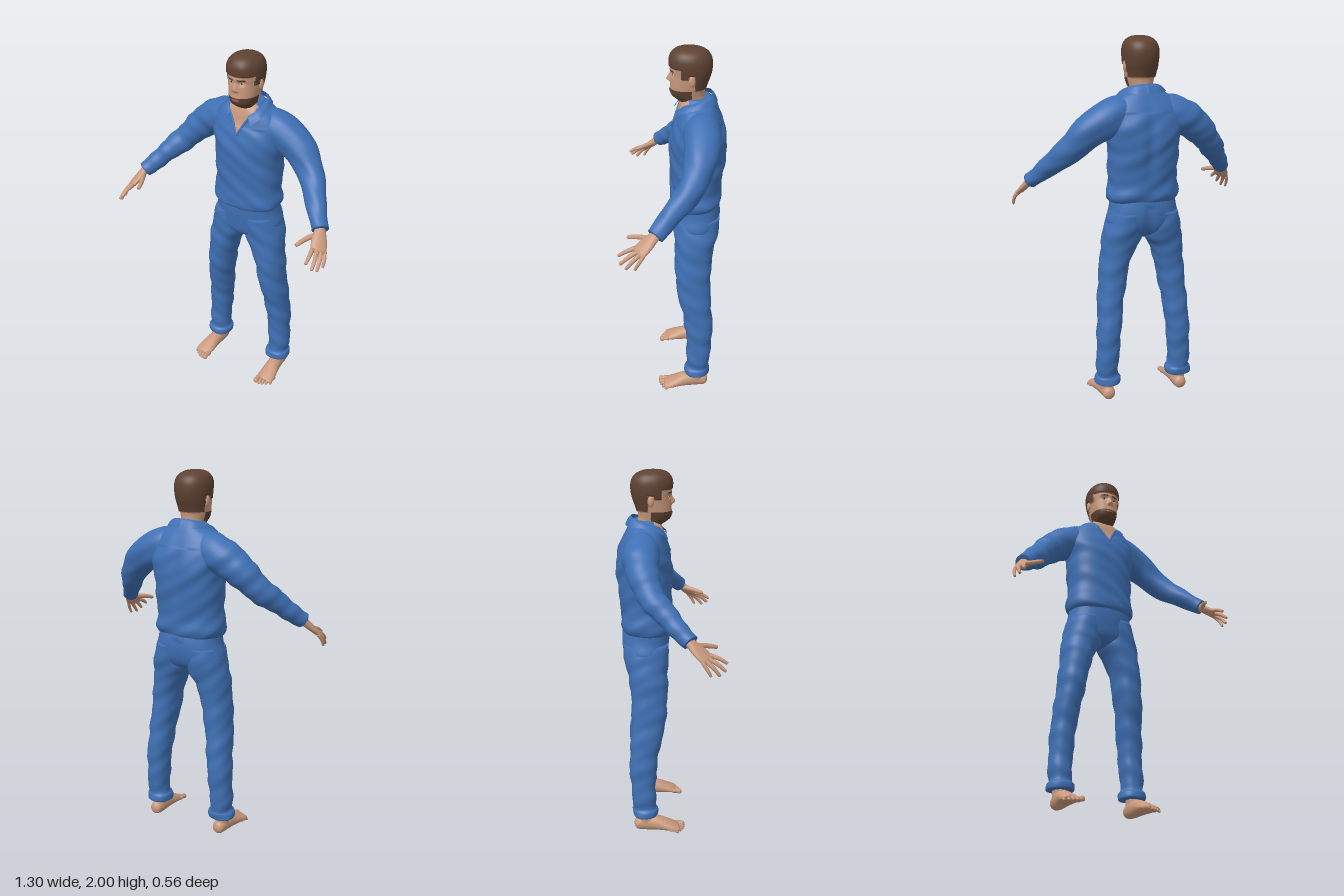
import * as THREE from 'three';

const mat = (name, color, side = THREE.FrontSide) => {
  const m = new THREE.MeshStandardMaterial({ color, side });
  m.name = name;
  return m;
};
const V = (x, y, z) => new THREE.Vector3(x, y, z);
const UP = V(0, 1, 0);
const bump = (d, w) => Math.exp(-(d * d) / (w * w));

// Smooth skin over elliptical stations [x, y, z, half width, half depth].
// o: width axis, fixed tangent, segs, steps, power, deform(p, centre), pick(centroid) -> material index
function loft(name, rows, material, o = {}) {
  const { axis = V(1, 0, 0), tangent, segs = 24, steps = 30, power = 2, deform, pick } = o;
  const path = new THREE.CatmullRomCurve3(rows.map(r => V(r[0], r[1], r[2])), false, 'catmullrom');
  const size = new THREE.CatmullRomCurve3(rows.map(r => V(r[3], r[4] ?? r[3], 0)), false, 'catmullrom');
  const pts = [], sq = v => Math.sign(v) * Math.abs(v) ** (2 / power);
  for (let i = 0; i <= steps; i++) {
    const c = path.getPoint(i / steps), s = size.getPoint(i / steps);
    const T = tangent ?? path.getTangent(i / steps);
    const W = axis.clone().addScaledVector(T, -axis.dot(T)).normalize();
    const N = T.clone().cross(W);
    for (let j = 0; j < segs; j++) {
      const t = j / segs * Math.PI * 2;
      const p = c.clone().addScaledVector(W, s.x * sq(Math.cos(t))).addScaledVector(N, s.y * sq(Math.sin(t)));
      if (deform) deform(p, c);
      pts.push(p);
    }
  }
  const last = steps * segs;
  pts.push(path.getPoint(0), path.getPoint(1));
  const mats = [].concat(material), faces = mats.map(() => []);
  const tri = (a, b, c) => {
    const m = pts[a].clone().add(pts[b]).add(pts[c]).divideScalar(3);
    faces[pick ? pick(m) : 0].push(a, b, c);
  };
  for (let j = 0; j < segs; j++) {
    const k = (j + 1) % segs;
    for (let i = 0; i < last; i += segs) {
      tri(i + j, i + k, i + segs + j);
      tri(i + k, i + segs + k, i + segs + j);
    }
    tri(last + segs, k, j);
    tri(last + segs + 1, last + j, last + k);
  }
  const g = new THREE.BufferGeometry().setFromPoints(pts);
  g.setIndex(faces.flat());
  let start = 0;
  if (mats.length > 1) faces.forEach((f, i) => { g.addGroup(start, f.length, i); start += f.length; });
  g.computeVertexNormals();
  const mesh = new THREE.Mesh(g, mats.length > 1 ? mats : mats[0]);
  mesh.name = name;
  return mesh;
}

// Horizontal station from its extents
const ring = (y, x0, x1, zf, zb) => [(x0 + x1) / 2, y, (zf + zb) / 2, (x1 - x0) / 2, (zf - zb) / 2];
const level = rows => rows.map(([y, hw, zf, zb]) => ring(y, -hw, hw, zf, zb));

// Soft cloth folds
const folds = amount => (p, c) => {
  const f = Math.sin(p.y * 36 + p.x * 24) + 0.7 * Math.sin(p.y * 66 - p.z * 32 + p.x * 38);
  p.addScaledVector(p.clone().sub(c).normalize(), f * amount);
};

export function createModel() {
  const model = new THREE.Group();
  model.name = 'man';
  const blue = mat('blue cloth', 0x3f70b4, THREE.DoubleSide);
  const skin = mat('skin', 0xc8987c);
  const hair = mat('brown hair', 0x5e4232);
  const lip = mat('lips', 0xa86a58);
  const white = mat('eye white', 0xd8d0c8);
  const iris = mat('iris', 0x3a2a20);
  const add = (...m) => model.add(...m);

  // Shirt with an open neck
  const cloth = folds(0.0028);
  add(loft('shirt', level([
    [1.13, 0.172, 0.012, -0.225], [1.145, 0.19, 0.027, -0.24], [1.18, 0.198, 0.03, -0.252], [1.25, 0.188, 0.026, -0.25],
    [1.4, 0.19, 0.03, -0.27], [1.5, 0.2, 0.03, -0.276], [1.58, 0.212, 0.014, -0.262], [1.64, 0.198, -0.008, -0.238],
    [1.69, 0.152, -0.02, -0.212], [1.72, 0.1, -0.032, -0.196], [1.74, 0.075, -0.05, -0.18]]), [blue, skin], {
    tangent: UP, segs: 180, steps: 90, power: 2.35,
    deform: (p, c) => {
      if (p.y < 1.62) cloth(p, c);
      if (p.z < -0.14) p.z += 0.014 * bump(p.x, 0.035) * bump(p.y - 1.45, 0.16);
    },
    pick: m => (m.z > -0.07 && m.y > 1.575 && Math.abs(m.x) < (m.y - 1.575) * 0.56 ? 1 : 0),
  }));

  // Trousers: hips
  add(loft('trouserHips', level([
    [0.93, 0.03, -0.06, -0.15], [0.95, 0.1, -0.02, -0.19], [0.98, 0.17, 0, -0.222], [1.03, 0.203, 0.008, -0.242],
    [1.1, 0.185, 0.015, -0.248], [1.18, 0.176, 0.015, -0.232]]), blue, { tangent: UP, segs: 64, power: 2.3,
    deform: p => { if (p.z < -0.14 && p.y < 1.12) p.z += 0.012 * bump(p.x, 0.025); } }));

  for (const s of [1, -1]) {
    const side = s > 0 ? 'left' : 'right';
    const flip = rows => rows.map(([x, ...r]) => [x * s, ...r]);
    const dir = (x, y, z) => V(x * s, y, z).normalize();

    // Trouser leg with bunched cuff
    add(loft(side + 'TrouserLeg', flip([
      [0.095, 0.15, 0.262, -0.075, -0.185], [0.1, 0.14, 0.284, -0.056, -0.198], [0.13, 0.142, 0.284, -0.056, -0.2],
      [0.15, 0.156, 0.272, -0.068, -0.194], [0.2, 0.152, 0.274, -0.068, -0.2], [0.3, 0.147, 0.271, -0.068, -0.208],
      [0.4, 0.138, 0.268, -0.06, -0.214], [0.5, 0.127, 0.262, -0.045, -0.208], [0.6, 0.113, 0.254, -0.02, -0.2],
      [0.7, 0.094, 0.245, -0.006, -0.198], [0.8, 0.074, 0.236, 0, -0.2], [0.88, 0.042, 0.229, 0.002, -0.21],
      [0.94, 0.006, 0.222, 0.003, -0.224], [1.0, 0, 0.21, 0.005, -0.236], [1.08, 0, 0.186, 0.01, -0.242]]
      .map(r => ring(...r))), blue, { tangent: UP, segs: 48, steps: 90, power: 2.2, deform: folds(0.0025) }));

    // Sleeve
    add(loft(side + 'Sleeve', flip([
      [0.1, 1.6, -0.13, 0.088], [0.15, 1.602, -0.135, 0.096], [0.22, 1.572, -0.14, 0.096], [0.3, 1.522, -0.13, 0.086],
      [0.37, 1.45, -0.105, 0.073], [0.425, 1.392, -0.065, 0.066], [0.49, 1.322, 0.01, 0.054],
      [0.545, 1.258, 0.072, 0.044], [0.566, 1.236, 0.096, 0.042]]), blue,
      { axis: dir(-0.6, 0.1, 0.55), segs: 40, steps: 70, deform: folds(0.0025) }));

    // Hand
    const hand = new THREE.Group();
    hand.name = side + 'Hand';
    const across = dir(-0.6, 0.15, 0.55);
    hand.add(loft('palm', flip([[0.55, 1.255, 0.075, 0.027, 0.024], [0.567, 1.233, 0.1, 0.03, 0.022],
      [0.585, 1.2, 0.137, 0.041, 0.019], [0.603, 1.168, 0.172, 0.042, 0.015], [0.609, 1.158, 0.183, 0.036, 0.008]]),
      skin, { axis: across }));
    const fingers = {
      thumb: [[0.558, 1.218, 0.125], [0.528, 1.21, 0.178], [0.508, 1.196, 0.23]],
      indexFinger: [[0.58, 1.178, 0.192], [0.588, 1.162, 0.238], [0.59, 1.14, 0.275]],
      middleFinger: [[0.599, 1.168, 0.182], [0.614, 1.142, 0.228], [0.62, 1.11, 0.266]],
      ringFinger: [[0.615, 1.161, 0.168], [0.63, 1.13, 0.205], [0.634, 1.092, 0.237]],
      littleFinger: [[0.629, 1.158, 0.152], [0.641, 1.125, 0.175], [0.643, 1.092, 0.193]],
    };
    for (const [n, [a, b, c]] of Object.entries(fingers)) {
      const k = n === 'thumb' ? 1.2 : n === 'littleFinger' ? 0.85 : 1;
      const tip = c.map((v, i) => v + (c[i] - b[i]) * 0.06);
      hand.add(loft(n, flip([[...a, 0.012 * k], [...b, 0.0105 * k], [...c, 0.008 * k], [...tip, 0.003]]), skin,
        { axis: across, segs: 12, steps: 15 }));
    }
    add(hand);

    // Foot and toes
    const foot = new THREE.Group();
    foot.name = side + 'Foot';
    foot.add(loft('ankle', flip([[0.216, 0.035, -0.125, 0.038, 0.045], [0.216, 0.08, -0.125, 0.037, 0.046],
      [0.216, 0.16, -0.13, 0.038, 0.044]]), skin, { tangent: UP }));
    foot.add(loft('footBody', flip([[0.215, 0.036, -0.19, 0.012, 0.012], [0.215, 0.038, -0.175, 0.032, 0.033],
      [0.215, 0.046, -0.125, 0.038, 0.046], [0.22, 0.043, -0.06, 0.042, 0.042], [0.225, 0.031, 0, 0.05, 0.029],
      [0.227, 0.022, 0.04, 0.051, 0.019], [0.226, 0.017, 0.06, 0.044, 0.012]]), skin, { segs: 32 }));
    for (let i = 0; i < 5; i++) {
      const x = 0.189 + i * 0.0195 + (i ? 0.004 : 0), r = i ? 0.0105 - i * 0.0005 : 0.015, z = 0.096 - i * i * 0.0022;
      foot.add(loft('toe' + (i + 1), flip([[x, 0.02, z - 0.055, r], [x, 0.019, z - 0.025, r * 0.9],
        [x, r, z - 0.008, r], [x, r, z, r * 0.4]]), skin, { segs: 12, steps: 15 }));
    }
    add(foot);

    // Ear, eye and shirt-opening trim
    const ball = (name, m, pos, scale) => {
      const e = new THREE.Mesh(new THREE.SphereGeometry(1, 20, 14), m);
      e.name = name;
      e.position.set(pos[0] * s, pos[1], pos[2]);
      e.scale.set(...scale);
      add(e);
    };
    ball(side + 'Ear', skin, [0.087, 1.845, -0.085], [0.01, 0.029, 0.017]);
    ball(side + 'EyeWhite', white, [0.032, 1.865, 0.0045], [0.013, 0.006, 0.008]);
    ball(side + 'Iris', iris, [0.032, 1.865, 0.0095], [0.0055, 0.0055, 0.0045]);
    const trim = new THREE.Mesh(new THREE.TubeGeometry(new THREE.CatmullRomCurve3(
      [V(0, 1.572, 0.016), V(0.03 * s, 1.63, -0.005), V(0.061 * s, 1.684, -0.026)]), 16, 0.007, 8), blue);
    trim.name = side + 'NeckTrim';
    add(trim);

    // Folded collar, from nape to point
    const top = new THREE.CatmullRomCurve3([V(0, 1.762, -0.19), V(0.06, 1.757, -0.175), V(0.09, 1.738, -0.12),
      V(0.077, 1.712, -0.055), V(0.05, 1.682, -0.012)]);
    const low = new THREE.CatmullRomCurve3([V(0, 1.715, -0.22), V(0.075, 1.715, -0.205), V(0.125, 1.713, -0.13),
      V(0.12, 1.682, -0.033), V(0.08, 1.643, 0.006)]);
    const g = new THREE.PlaneGeometry(1, 1, 24, 6), pos = g.attributes.position;
    for (let i = 0; i < pos.count; i++) {
      const u = pos.getX(i) + 0.5, v = 0.5 - pos.getY(i);
      const p = top.getPoint(u).lerp(low.getPoint(u), v);
      p.y += 0.008 * Math.sin(v * Math.PI);
      pos.setXYZ(i, p.x * s, p.y, p.z);
    }
    if (s > 0) g.index.array.reverse();
    g.computeVertexNormals();
    const collar = new THREE.Mesh(g, blue);
    collar.name = side + 'Collar';
    add(collar);
  }

  // Head and neck, with hair, beard, brows and lips as coloured faces
  const isHair = p => p.y > (p.z > -0.03 ? 1.903 : p.z > -0.068 ? 1.855 : p.z > -0.1 ? 1.872 : 1.79);
  const isBeard = p => p.y < 1.787 && p.z > -0.085 && p.y > 1.7 - (p.z + 0.03) * 0.7;
  const isBrow = p => p.z > -0.02 && Math.abs(p.y - 1.884) < 0.005 && Math.abs(Math.abs(p.x) - 0.033) < 0.019;
  const isLip = p => p.z > 0 && Math.abs(p.y - 1.773) < 0.005 && Math.abs(p.x) < 0.02;
  add(loft('head', level([
    [1.6, 0.07, -0.045, -0.18], [1.66, 0.066, -0.045, -0.178], [1.705, 0.062, -0.036, -0.165], [1.73, 0.062, -0.004, -0.158],
    [1.75, 0.067, 0.02, -0.153], [1.78, 0.075, 0.026, -0.153], [1.82, 0.081, 0.024, -0.163], [1.86, 0.086, 0.022, -0.177],
    [1.9, 0.09, 0.026, -0.184], [1.94, 0.088, 0.027, -0.181], [1.97, 0.073, 0.012, -0.162], [1.988, 0.045, -0.016, -0.126],
    [1.994, 0.01, -0.06, -0.08]]), [skin, hair, lip], {
    tangent: UP, segs: 120, steps: 120, power: 2.15,
    deform: p => {
      if (isHair(p)) return p.addScaledVector(p.clone().sub(V(0, 1.87, -0.08)).normalize(), 0.007);
      if (p.z < -0.04) return;
      const ax = Math.abs(p.x), up = p.y > 1.832 ? 0.03 : 0.009;
      p.z += 0.022 * bump(p.x, 0.011) * bump(p.y - 1.832, up);
      p.z += 0.006 * bump(ax - 0.012, 0.007) * bump(p.y - 1.826, 0.009);
      p.z += 0.004 * bump(p.y - 1.886, 0.01) * bump(ax - 0.02, 0.03);
      p.z -= 0.01 * bump(ax - 0.032, 0.015) * bump(p.y - 1.865, 0.011);
      p.z += 0.005 * bump(p.x, 0.022) * bump(p.y - 1.775, 0.012);
    },
    pick: m => (isLip(m) ? 2 : isHair(m) || isBeard(m) || isBrow(m) ? 1 : 0),
  }));
  return model;
}
